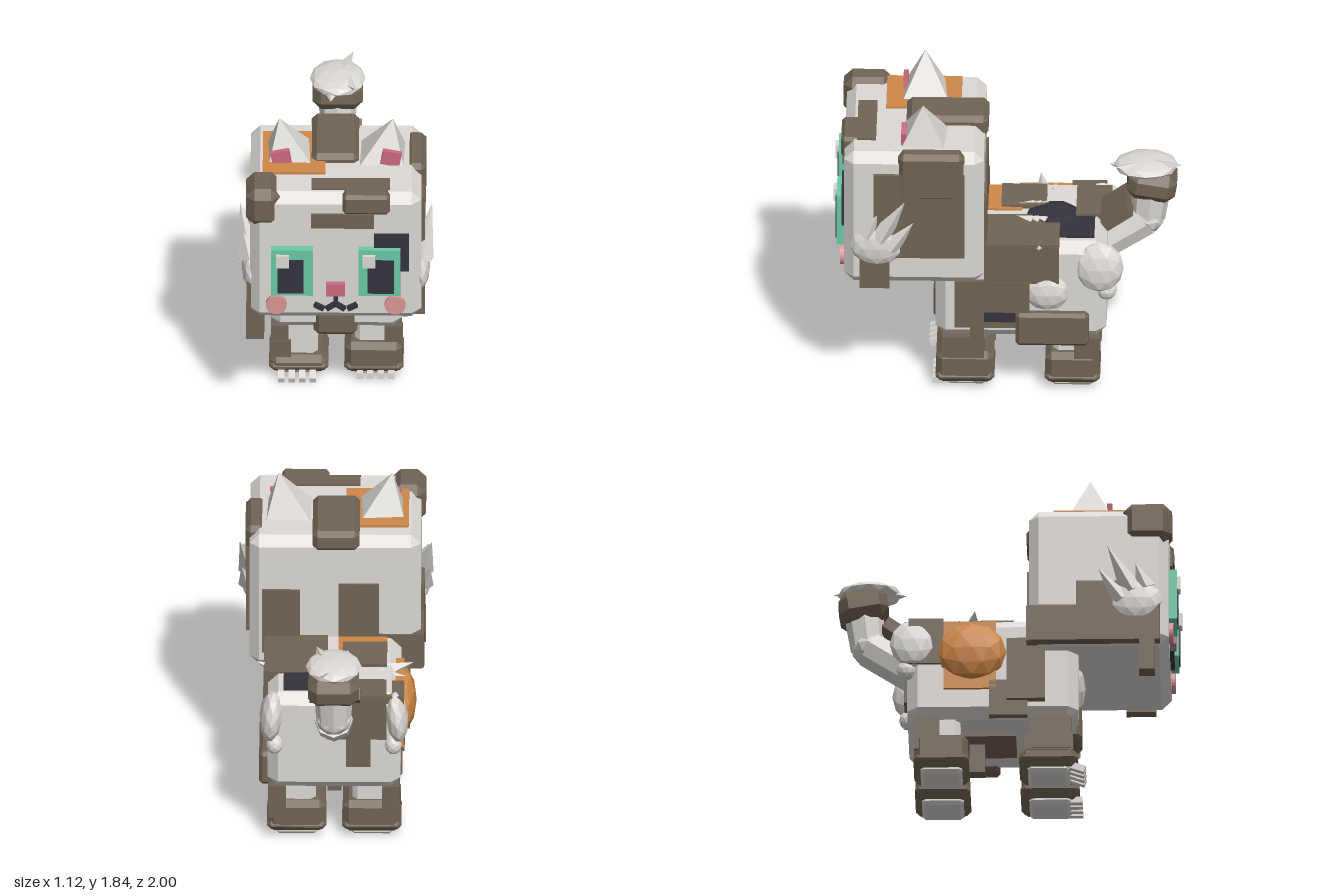
import * as THREE from 'three';
import { ConvexGeometry } from 'three/addons/geometries/ConvexGeometry.js';

const flat = (name, color) => {
  const m = new THREE.MeshStandardMaterial({ color, flatShading: true });
  m.name = name;
  return m;
};

export function createModel() {
  const white = flat('white fur', 0xdcd9d5), brown = flat('brown fur', 0x706454);
  const orange = flat('orange fur', 0xcf8848), dark = flat('charcoal', 0x34333d);
  const green = flat('eye green', 0x6ccaa8), pink = flat('pink', 0xcc6a80);
  const blush = flat('blush', 0xd99694);
  const model = new THREE.Group();
  model.name = 'blockCat';

  const add = (parent, name, geometry, material, pos = [0, 0, 0], rot = [0, 0, 0]) => {
    const m = new THREE.Mesh(geometry, material);
    m.name = name;
    m.position.set(...pos);
    m.rotation.set(...rot);
    parent.add(m);
    return m;
  };
  const group = (name) => {
    const g = new THREE.Group();
    g.name = name;
    model.add(g);
    return g;
  };
  // plain box given by its x, y and z ranges
  const slab = (parent, name, mat, [x0, x1], [y0, y1], [z0, z1], rot) =>
    add(parent, name, new THREE.BoxGeometry(x1 - x0, y1 - y0, z1 - z0), mat,
      [(x0 + x1) / 2, (y0 + y1) / 2, (z0 + z1) / 2], rot);
  // box with bevelled edges and cut corners
  const bevel = (parent, name, mat, [x0, x1], [y0, y1], [z0, z1], c, rot) => {
    const h = [(x1 - x0) / 2, (y1 - y0) / 2, (z1 - z0) / 2], pts = [];
    for (const i of [-1, 1]) for (const j of [-1, 1]) for (const k of [-1, 1])
      for (let axis = 0; axis < 3; axis++) {
        const p = h.map((v, n) => (n === axis ? v : v - c));
        pts.push(new THREE.Vector3(p[0] * i, p[1] * j, p[2] * k));
      }
    return add(parent, name, new ConvexGeometry(pts), mat,
      [(x0 + x1) / 2, (y0 + y1) / 2, (z0 + z1) / 2], rot);
  };
  const ball = (parent, name, mat, pos, radii, rot) => {
    const m = add(parent, name, new THREE.IcosahedronGeometry(1, 1), mat, pos, rot);
    m.scale.set(...radii);
    return m;
  };
  // flattened four-sided spike from base to tip
  const between = (m, a, b) => {
    m.position.copy(a).add(b).multiplyScalar(0.5);
    m.quaternion.setFromUnitVectors(new THREE.Vector3(0, 1, 0), b.clone().sub(a).normalize());
    return m;
  };
  const rod = (parent, name, mat, from, to, r0, r1, sides) => {
    const a = new THREE.Vector3(...from), b = new THREE.Vector3(...to);
    return between(add(parent, name, new THREE.CylinderGeometry(r1, r0, a.distanceTo(b), sides), mat), a, b);
  };
  const spike = (parent, mat, from, to, r) => rod(parent, 'furTuft', mat, from, to, r, 0, 4);

  // head block
  const head = group('head');
  bevel(head, 'skull', white, [-0.49, 0.49], [0.74, 1.59], [0.13, 0.93], 0.055);
  slab(head, 'crownOrange', orange, [-0.42, -0.06], [1.56, 1.605], [0.27, 0.7]);
  bevel(head, 'crownStripe', brown, [-0.14, 0.13], [1.51, 1.64], [0.11, 0.58], 0.03);
  slab(head, 'browTop', brown, [-0.14, 0.31], [1.56, 1.6], [0.75, 0.86]);
  bevel(head, 'browCorner', brown, [0.04, 0.31], [1.47, 1.6], [0.8, 0.95], 0.02);
  slab(head, 'browStripe', brown, [-0.14, 0.22], [1.38, 1.475], [0.9, 0.945]);
  bevel(head, 'cornerPatch', brown, [-0.515, -0.32], [1.38, 1.62], [0.67, 0.95], 0.05);
  bevel(head, 'sidePatchTop', brown, [0.4, 0.515], [1.3, 1.6], [0.24, 0.62], 0.03);
  slab(head, 'sidePatch', brown, [0.47, 0.51], [0.93, 1.47], [0.24, 0.76]);
  slab(head, 'sidePatchLow', brown, [0.44, 0.51], [0.73, 0.95], [0.67, 0.84]);
  slab(head, 'jawPatch', brown, [-0.51, -0.44], [0.75, 0.97], [0.13, 0.88]);
  slab(head, 'jawPatchTall', brown, [-0.51, -0.46], [0.9, 1.12], [0.4, 0.66]);
  slab(head, 'jawLock', brown, [-0.515, -0.41], [0.56, 0.76], [0.76, 0.85]);
  slab(head, 'napePatch', brown, [-0.25, -0.02], [0.76, 1.3], [0.115, 0.15]);
  slab(head, 'napePatchLow', brown, [-0.5, -0.2], [0.75, 0.97], [0.115, 0.2]);
  slab(head, 'napePatchSide', brown, [0.2, 0.42], [0.85, 1.26], [0.115, 0.15]);

  for (const s of [-1, 1]) {
    // ears: pyramid leaning outwards
    const ear = new ConvexGeometry([[0.13, 1.57, 0.33], [0.4, 1.57, 0.35], [0.39, 1.57, 0.61],
      [0.12, 1.57, 0.62], [0.325, 1.83, 0.48]].map(([x, y, z]) => new THREE.Vector3(s * x, y, z)));
    add(head, 'ear', ear, white);
    slab(head, 'innerEar', pink, [s * 0.315 - 0.055, s * 0.315 + 0.055], [1.59, 1.68], [0.575, 0.605], [0, 0, -s * 0.2]);
    // eyes
    slab(head, 'iris', green, [s * 0.25 - 0.12, s * 0.25 + 0.12], [0.94, 1.25], [0.92, 0.975]);
    slab(head, 'pupil', dark, [s * 0.258 - 0.075, s * 0.258 + 0.075], [0.96, 1.185], [0.97, 0.982]);
    const g = s < 0 ? -0.305 : 0.19;
    slab(head, 'eyeGlint', white, [g - 0.037, g + 0.037], [1.14, 1.22], [0.97, 0.995]);
    // cheeks, mouth and ruff
    add(head, 'blush', new THREE.CylinderGeometry(0.06, 0.06, 0.03, 20), blush, [s * 0.34, 0.86, 0.94], [Math.PI / 2, 0, 0]);
    slab(head, 'mouthInner', dark, [s * 0.026 - 0.032, s * 0.026 + 0.032], [0.835, 0.862], [0.92, 0.955], [0, 0, -s * 0.6]);
    slab(head, 'mouthOuter', dark, [s * 0.095 - 0.03, s * 0.095 + 0.03], [0.832, 0.86], [0.92, 0.955], [0, 0, s * 0.5]);
    ball(head, 'cheekFur', white, [s * 0.49, 1.0, 0.74], [0.05, 0.125, 0.155]);
    spike(head, white, [s * 0.49, 1.06, 0.72], [s * 0.55, 1.32, 0.58], 0.07);
    spike(head, white, [s * 0.5, 1.0, 0.66], [s * 0.54, 1.18, 0.53], 0.06);
    spike(head, white, [s * 0.49, 1.08, 0.8], [s * 0.53, 1.22, 0.74], 0.06);
  }
  slab(head, 'eyePatch', dark, [0.22, 0.42], [1.09, 1.34], [0.9, 0.945]);
  slab(head, 'nose', pink, [-0.056, 0.054], [0.93, 1.01], [0.9, 0.965]);
  slab(head, 'mouthLine', dark, [-0.013, 0.013], [0.85, 0.93], [0.92, 0.955]);

  // body block with coat patches
  const body = group('body');
  bevel(body, 'torso', white, [-0.38, 0.38], [0.33, 0.95], [-0.57, 0.41], 0.06);
  slab(body, 'backPatchRear', brown, [-0.3, 0.04], [0.9, 0.965], [-0.59, -0.39]);
  slab(body, 'backPatchMid', brown, [-0.3, -0.045], [0.9, 0.97], [-0.22, 0.04]);
  slab(body, 'backPatchLeft', brown, [0.04, 0.4], [0.9, 0.96], [-0.3, 0.13]);
  slab(body, 'backOrange', orange, [-0.3, -0.02], [0.9, 0.96], [-0.08, 0.14]);
  slab(body, 'backDark', dark, [0.05, 0.29], [0.9, 0.957], [-0.5, -0.1]);
  ball(body, 'backDarkFur', dark, [0.01, 0.93, -0.26], [0.17, 0.05, 0.17]);
  slab(body, 'flankUpper', brown, [0.35, 0.405], [0.71, 0.95], [-0.3, 0.13]);
  slab(body, 'flankFront', brown, [0.35, 0.41], [0.42, 0.72], [-0.13, 0.3]);
  bevel(body, 'flankLower', brown, [0.3, 0.43], [0.31, 0.52], [-0.47, -0.05], 0.02);
  slab(body, 'flankDark', dark, [0.36, 0.415], [0.46, 0.52], [-0.05, 0.13]);
  slab(body, 'flankFoot', brown, [0.33, 0.405], [0.3, 0.44], [0.13, 0.21]);
  slab(body, 'shoulderPatch', brown, [-0.43, -0.35], [0.42, 0.8], [0.0, 0.22]);
  slab(body, 'shoulderPatchLow', brown, [-0.4, -0.35], [0.33, 0.55], [-0.1, 0.12]);
  slab(body, 'hipPatch', brown, [-0.4, -0.3], [0.66, 0.94], [-0.56, -0.36]);
  slab(body, 'rumpPatch', brown, [-0.3, 0.04], [0.68, 0.96], [-0.59, -0.54]);
  slab(body, 'rumpPatchLow', brown, [-0.21, -0.07], [0.5, 0.7], [-0.59, -0.54]);
  bevel(body, 'chestPatch', brown, [-0.13, 0.12], [0.3, 0.53], [0.3, 0.425], 0.03);
  slab(body, 'bellyLock', brown, [-0.04, 0.04], [0.135, 0.36], [-0.22, -0.13]);
  slab(body, 'bellyPatch', brown, [-0.15, 0.15], [0.31, 0.36], [-0.25, 0.05]);
  ball(body, 'chestFur', white, [0, 0.67, 0.37], [0.175, 0.175, 0.075]);
  ball(body, 'flankFur', white, [0.37, 0.64, -0.23], [0.06, 0.12, 0.13]);
  ball(body, 'flankOrange', orange, [-0.39, 0.73, -0.2], [0.08, 0.18, 0.2]);
  slab(body, 'orangePatch', orange, [-0.4, -0.35], [0.5, 0.92], [-0.36, -0.06]);
  for (const s of [-1, 1]) {
    ball(body, 'hipFur', white, [s * 0.36, 0.8, -0.53], [0.065, 0.155, 0.14], [0, 0, s * 0.1]);
    ball(body, 'hipFurLow', white, [s * 0.34, 0.64, -0.57], [0.05, 0.06, 0.06]);
    for (let i = 0; i < 3; i++)
      spike(body, white, [s * 0.28, 0.9, -0.2 - 0.04 * i], [s * (0.45 - 0.04 * i), 0.96 - 0.04 * i, -0.18 - 0.09 * i], 0.06);
    for (let i = 0; i < 3; i++)
      spike(body, white, [s * 0.1, 0.95, -0.22 + 0.04 * i], [s * 0.07, 0.97, -0.1 + 0.05 * i - 0.05], 0.03);
  }

  // legs with boots, soles and toes
  for (const s of [-1, 1]) for (const front of [true, false]) {
    const leg = group((front ? 'front' : 'hind') + (s > 0 ? 'LeftLeg' : 'RightLeg'));
    const z = front ? 0.24 : -0.375, x = s * 0.215, d = front ? 0.165 : 0.155;
    const short = front && s < 0, top = short ? 0.14 : 0.23;
    bevel(leg, 'shin', white, [x - 0.11, x + 0.11], [0.05, 0.42], [z - 0.11, z + 0.11], 0.03);
    bevel(leg, 'boot', brown, [x - 0.165, x + 0.165], [0.03, top], [z - d, z + d], 0.035);
    bevel(leg, 'bootRim', brown, [x - 0.17, x + 0.17], [0.045, 0.105], [z - d - 0.004, z + d + 0.004], 0.025);
    bevel(leg, 'sole', white, [x - 0.12, x + 0.12], [0, 0.08], [z - 0.12, z + 0.12], 0.02);
    const ox = [x + s * 0.06, x + s * 0.16].sort((a, b) => a - b);
    slab(leg, 'cuffPatch', brown, ox, [0.13, 0.335], front ? [z - 0.11, z + 0.13] : [z - 0.155, z - 0.01]);
    if (short) slab(leg, 'cuffFront', brown, [-0.37, -0.26], [0.12, 0.235], [0.1, 0.38]);
    if (front) for (let i = 0; i < 4; i++) {
      const tx = s * 0.225 + (i - 1.5) * 0.06, tz = short ? 0.4 : 0.375;
      slab(leg, 'toe', white, [tx - 0.018, tx + 0.018], [0.01, 0.05], [tz - 0.05, tz + 0.05], [short ? 0.35 : 0, 0, 0]);
    }
  }

  // curled tail with a tufted tip
  const tail = group('tail');
  rod(tail, 'tailBase', white, [0, 0.74, -0.5], [0, 0.93, -0.79], 0.11, 0.11, 8);
  ball(tail, 'tailJoint', white, [0, 0.94, -0.8], [0.105, 0.1, 0.1]);
  rod(tail, 'tailEnd', white, [0, 0.93, -0.8], [0, 1.2, -0.83], 0.1, 0.115, 8);
  slab(tail, 'tailPatch', brown, [-0.15, 0.14], [0.955, 1.025], [-0.715, -0.535], [0.62, 0, 0]);
  bevel(tail, 'tailBand', brown, [-0.145, 0.145], [1.09, 1.265], [-0.965, -0.685], 0.05, [-0.17, 0, 0]);
  ball(tail, 'tailTip', white, [0, 1.275, -0.79], [0.16, 0.05, 0.185]);
  spike(tail, white, [0.02, 1.28, -0.85], [0.09, 1.32, -1.0], 0.05);
  spike(tail, white, [-0.03, 1.26, -0.7], [-0.04, 1.25, -0.58], 0.06);
  spike(tail, white, [0.06, 1.28, -0.72], [0.1, 1.31, -0.62], 0.05);
  return model;
}
